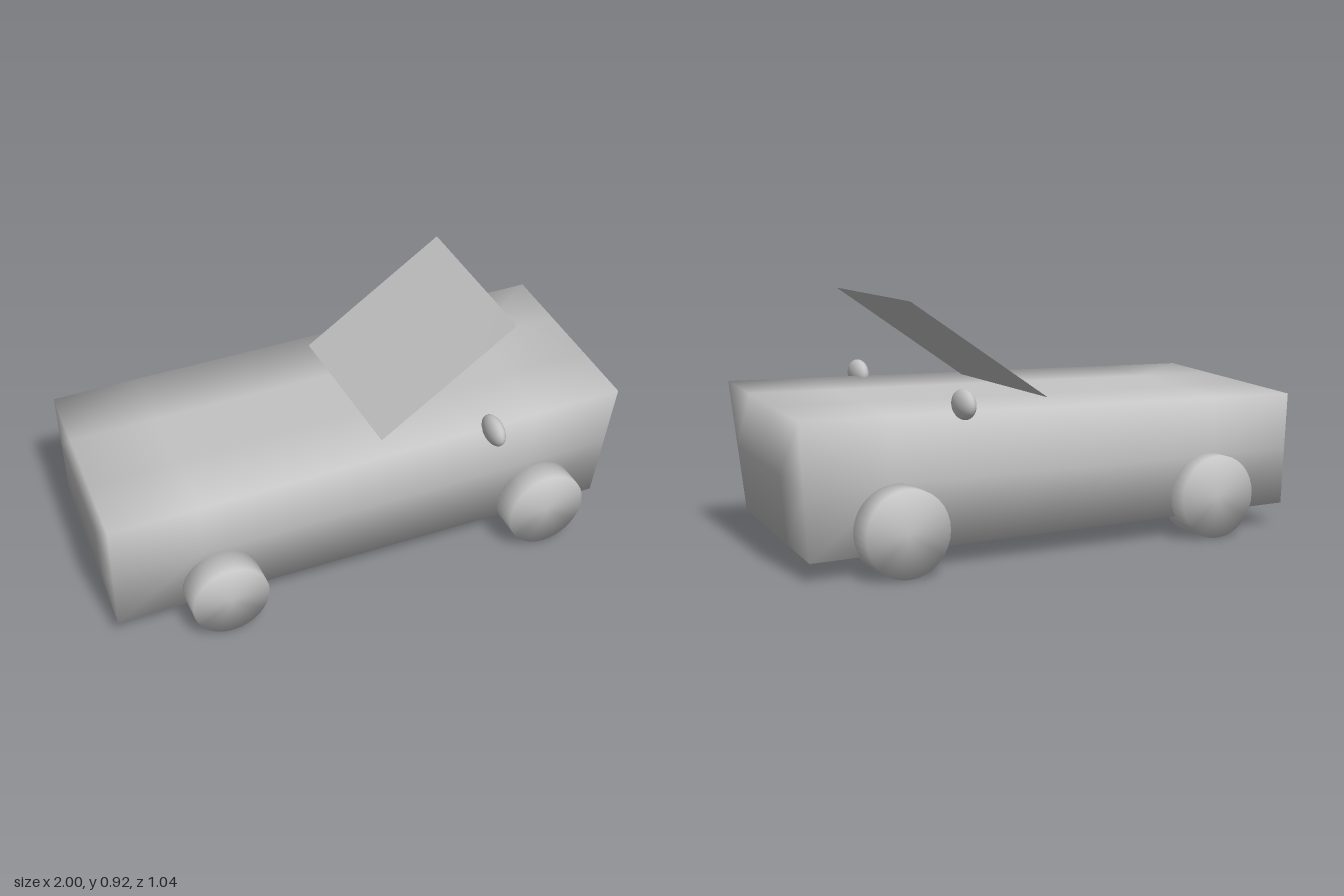
import * as THREE from 'three';
import { mergeVertices } from 'three/addons/utils/BufferGeometryUtils.js';

// Weld all corners so the shading runs smoothly around the edges
function weld(geometry) {
  geometry.deleteAttribute('normal');
  geometry.deleteAttribute('uv');
  const welded = mergeVertices(geometry, 1e-4);
  welded.computeVertexNormals();
  return welded;
}

// Box bent to eight corners, indexed by x + 2y + 4z (0 = low side, 1 = high side)
function hexahedron(corners, nx, ny, nz) {
  const g = new THREE.BoxGeometry(1, 1, 1, nx, ny, nz);
  const p = g.attributes.position;
  const v = new THREE.Vector3();
  for (let i = 0; i < p.count; i++) {
    const t = [p.getX(i) + 0.5, p.getY(i) + 0.5, p.getZ(i) + 0.5];
    v.set(0, 0, 0);
    corners.forEach((c, k) => {
      const w = t.reduce((m, s, a) => m * ((k >> a) & 1 ? s : 1 - s), 1);
      v.addScaledVector(new THREE.Vector3(...c), w);
    });
    p.setXYZ(i, v.x, v.y, v.z);
  }
  return weld(g);
}

export function createModel() {
  const group = new THREE.Group();
  const grey = new THREE.MeshStandardMaterial({ color: 0xc4c4c4, side: THREE.DoubleSide });
  grey.name = 'lightGrey';
  const add = (name, geometry) => {
    const mesh = new THREE.Mesh(geometry, grey);
    mesh.name = name;
    group.add(mesh);
    return mesh;
  };

  // Slightly skewed body
  add('body', hexahedron([
    [-0.95, 0.085, -0.42], [0.965, 0.068, -0.375],
    [-0.96, 0.51, -0.435], [1.0, 0.55, -0.385],
    [-0.99, 0.078, 0.36], [0.91, 0.095, 0.395],
    [-1.0, 0.53, 0.395], [0.957, 0.58, 0.43],
  ], 6, 2, 3));

  // Wheels: x, y, radius, inner z, outer z
  [
    ['frontLeftWheel', 0.653, 0.158, 0.153, 0.36, 0.5],
    ['frontRightWheel', -0.605, 0.155, 0.143, 0.35, 0.49],
    ['backLeftWheel', 0.655, 0.156, 0.155, -0.355, -0.492],
    ['backRightWheel', -0.605, 0.155, 0.155, -0.355, -0.488],
  ].forEach(([name, x, y, r, inner, outer]) => {
    const g = new THREE.CylinderGeometry(r, r, Math.abs(outer - inner), 32, 1);
    const wheel = add(name, weld(g.rotateX(Math.PI / 2)));
    wheel.position.set(x, y, (inner + outer) / 2);
  });

  // Mirrors on both sides
  for (const side of [1, -1]) {
    const mirror = add(side > 0 ? 'frontMirror' : 'backMirror', new THREE.SphereGeometry(1, 24, 16));
    mirror.scale.set(0.033, 0.053, 0.07);
    mirror.position.set(0.428, 0.573, side * 0.45);
  }

  // Slanted windscreen sheet
  const sheet = new THREE.PlaneGeometry(1, 1);
  [[0.03, 0.552, -0.327], [0.565, 0.917, -0.325], [0.042, 0.558, 0.328], [0.56, 0.917, 0.332]]
    .forEach((c, i) => sheet.attributes.position.setXYZ(i, ...c));
  sheet.setIndex([0, 2, 1, 2, 3, 1]);
  sheet.computeVertexNormals();
  add('windscreen', sheet);

  return group;
}
